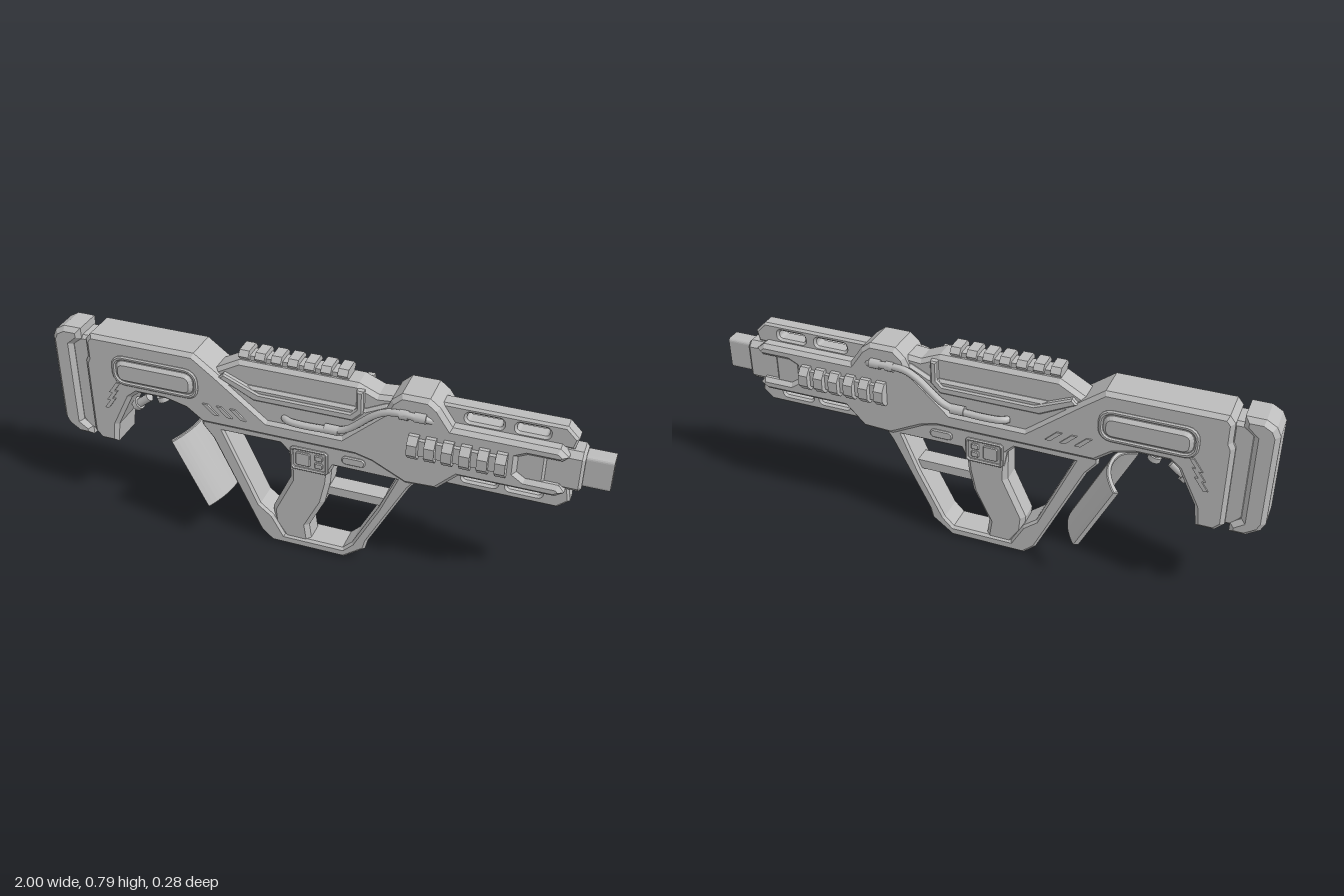
import * as THREE from 'three';

const grey = new THREE.MeshStandardMaterial({ color: 0xbcbcbc });
grey.name = 'light gunmetal grey';

const toShape = (pts) => new THREE.Shape(pts.map(([x, y]) => new THREE.Vector2(x, y)));

// Rounded or chamfered rectangle outline
function pill(x0, x1, y0, y1, r, steps = 4) {
  const pts = [];
  const corners = [[x1 - r, y1 - r], [x0 + r, y1 - r], [x0 + r, y0 + r], [x1 - r, y0 + r]];
  corners.forEach(([cx, cy], q) => {
    for (let i = 0; i <= steps; i++) {
      const a = (q + i / steps) * Math.PI / 2;
      pts.push([cx + r * Math.cos(a), cy + r * Math.sin(a)]);
    }
  });
  return pts;
}

// Side outline thickened to z0..z1 with chamfered edges that keep the outline's size
function slab(pts, z0, z1, bevel = 0, holes = []) {
  const shape = toShape(pts);
  shape.holes = holes.map(toShape);
  const geo = new THREE.ExtrudeGeometry(shape, {
    depth: z1 - z0 - 2 * bevel, bevelEnabled: bevel > 0, bevelThickness: bevel,
    bevelSize: bevel, bevelOffset: -bevel, bevelSegments: 1,
  });
  return geo.translate(0, 0, z0 + bevel);
}

// Cross-section in (z, y) drawn out along x
const prismX = (pts, x0, x1, holes = [], bevel = 0) => slab(pts, x0, x1, bevel, holes).rotateY(Math.PI / 2);

export function createModel() {
  const model = new THREE.Group();
  const add = (name, geo) => {
    const mesh = new THREE.Mesh(geo, grey);
    mesh.name = name;
    model.add(mesh);
    return mesh;
  };
  const box = (name, x0, x1, y0, y1, z0, z1) => add(name,
    new THREE.BoxGeometry(x1 - x0, y1 - y0, z1 - z0).translate((x0 + x1) / 2, (y0 + y1) / 2, (z0 + z1) / 2));

  // Outer shell: stock, lower strip, hump and forked handguard
  add('shell', slab([
    [-0.87, 0.34], [-0.84, 0.31], [-0.775, 0.31], [-0.765, 0.39], [-0.70, 0.52], [-0.67, 0.545],
    [-0.56, 0.545], [-0.48, 0.525], [-0.42, 0.48], [0.15, 0.48], [0.21, 0.465], [0.33, 0.405],
    [0.44, 0.41], [0.51, 0.48], [0.83, 0.48], [0.86, 0.50], [0.84, 0.525], [0.73, 0.525],
    [0.70, 0.545], [0.70, 0.605], [0.73, 0.62], [0.84, 0.62], [0.86, 0.64], [0.83, 0.665],
    [0.48, 0.665], [0.435, 0.73], [0.40, 0.757], [0.305, 0.757], [0.27, 0.725], [0.25, 0.68],
    [0.10, 0.545], [-0.17, 0.545], [-0.36, 0.695], [-0.44, 0.755], [-0.84, 0.755], [-0.86, 0.73],
    [-0.86, 0.66], [-0.87, 0.64],
  ], -0.075, 0.075, 0.014));

  // Narrower upper receiver with a stepped top panel
  add('upperReceiver', slab([
    [-0.44, 0.50], [-0.44, 0.68], [-0.36, 0.69], [-0.31, 0.665], [0.18, 0.665], [0.25, 0.70],
    [0.34, 0.70], [0.34, 0.50],
  ], -0.063, 0.063, 0.01));
  add('topPanel', slab([
    [-0.42, 0.62], [-0.37, 0.70], [-0.28, 0.75], [0.15, 0.75], [0.22, 0.72], [0.33, 0.73],
    [0.33, 0.62],
  ], -0.05, 0.05, 0.014));

  // Triangular lower frame: two bevelled side plates over a slightly inset core
  const opening = [
    [-0.345, 0.45], [-0.13, 0.45], [-0.10, 0.42], [-0.09, 0.36], [0.05, 0.36], [0.07, 0.40],
    [0.295, 0.40], [0.235, 0.26], [0.14, 0.075], [0.105, 0.04], [-0.12, 0.04], [-0.165, 0.12], [-0.215, 0.16],
  ];
  const frame = [
    [-0.43, 0.50], [-0.43, 0.46], [-0.39, 0.41], [-0.215, 0.04], [-0.17, 0], [0.11, 0],
    [0.19, 0.06], [0.20, 0.10], [0.34, 0.37], [0.36, 0.40], [0.36, 0.50],
  ];
  add('leftFramePlate', slab(frame, 0.033, 0.057, 0.009, [opening]));
  add('rightFramePlate', slab(frame, -0.057, -0.033, 0.009, [opening]));
  add('frameCore', slab([
    [-0.42, 0.50], [-0.42, 0.46], [-0.38, 0.41], [-0.208, 0.045], [-0.168, 0.004], [0.108, 0.004],
    [0.182, 0.062], [0.192, 0.102], [0.33, 0.37], [0.35, 0.40], [0.35, 0.50],
  ], -0.045, 0.045, 0, [opening]));

  // Grip and the bar that closes the finger opening
  add('grip', slab([
    [-0.10, 0.42], [-0.10, 0.30], [-0.17, 0.15], [-0.165, 0.09], [-0.12, 0.02], [-0.02, 0.02],
    [-0.03, 0.10], [0.03, 0.22], [0.05, 0.31], [0.06, 0.42],
  ], -0.05, 0.05, 0.016));
  box('crossBar', 0.02, 0.25, 0.257, 0.292, -0.033, 0.033);

  // Butt pad and its spacer plate
  add('buttPad', slab([
    [-1, 0.37], [-0.985, 0.34], [-0.94, 0.31], [-0.885, 0.31], [-0.885, 0.345], [-0.92, 0.37],
    [-0.92, 0.69], [-0.885, 0.72], [-0.885, 0.76], [-0.95, 0.76], [-0.985, 0.74], [-1, 0.71],
  ], -0.067, 0.067, 0.016));
  add('buttSpacer', slab([
    [-0.93, 0.37], [-0.89, 0.33], [-0.85, 0.33], [-0.85, 0.73], [-0.89, 0.73], [-0.93, 0.70],
  ], -0.052, 0.052, 0.012));

  // Slotted rails above and below the handguard
  add('upperVentRail', slab(
    [[0.38, 0.65], [0.87, 0.65], [0.88, 0.69], [0.84, 0.73], [0.38, 0.73]], -0.03, 0.03, 0.008,
    [pill(0.515, 0.635, 0.677, 0.708, 0.012), pill(0.68, 0.785, 0.677, 0.708, 0.012)]));
  add('lowerVentRail', slab(
    [[0.38, 0.41], [0.84, 0.41], [0.88, 0.445], [0.87, 0.50], [0.38, 0.50]], -0.03, 0.03, 0.008,
    [pill(0.52, 0.635, 0.441, 0.472, 0.012), pill(0.67, 0.785, 0.441, 0.472, 0.012)]));

  // Nose block and hollow muzzle
  add('noseBlock', prismX(pill(-0.05, 0.05, 0.495, 0.65, 0.02, 1), 0.66, 0.91, [], 0.01));
  add('noseCollar', prismX(pill(-0.06, 0.06, 0.50, 0.645, 0.02, 1), 0.66, 0.79, [], 0.008));
  add('muzzle', prismX(pill(-0.032, 0.032, 0.515, 0.635, 0.012), 0.90, 1, [pill(-0.019, 0.019, 0.53, 0.62, 0.008)]));
  box('boreBack', 0.90, 0.94, 0.52, 0.63, -0.025, 0.025);

  // Toothed top rail
  box('topRailBase', -0.28, 0.11, 0.74, 0.767, -0.028, 0.028);
  for (let i = 0; i < 7; i++) {
    const x = -0.28 + i * 0.0592;
    add('topRailTooth', prismX([[-0.03, 0.75], [0.03, 0.75], [0.045, 0.767], [0.03, 0.786], [-0.03, 0.786], [-0.045, 0.767]], x, x + 0.036));
  }

  // Details repeated on both flanks
  for (const s of [1, -1]) {
    const side = s > 0 ? 'left' : 'right';
    const plate = (name, pts, z0, z1, bevel, holes) =>
      add(`${side} ${name}`, s > 0 ? slab(pts, z0, z1, bevel, holes) : slab(pts, -z1, -z0, bevel, holes));

    // Stock cheek pad in a raised rim
    plate('padRim', pill(-0.76, -0.425, 0.575, 0.695, 0.045), 0.06, 0.082, 0.005, [pill(-0.744, -0.441, 0.591, 0.679, 0.032)]);
    plate('stockPad', pill(-0.742, -0.443, 0.593, 0.677, 0.032), 0.06, 0.09, 0.012);

    // Slanted marks on the stock
    for (let i = 0; i < 3; i++) {
      const x = -0.805 + i * 0.012, y = 0.465 + i * 0.035;
      plate('rearMark', [[x, y], [x + 0.016, y], [x + 0.048, y + 0.045], [x + 0.032, y + 0.045]], 0.07, 0.081);
      const u = -0.41 + i * 0.052;
      plate('frontMark', [[u, 0.568], [u + 0.04, 0.53], [u + 0.06, 0.53], [u + 0.02, 0.568]], 0.07, 0.081);
    }

    // Receiver lip, pill button and control square
    plate('receiverLip', [
      [-0.35, 0.68], [-0.22, 0.615], [0.14, 0.615], [0.175, 0.65], [0.175, 0.735], [0.15, 0.735],
      [0.15, 0.665], [0.13, 0.645], [-0.20, 0.645], [-0.33, 0.70],
    ], 0.04, 0.07, 0.006);
    plate('button', pill(0.10, 0.185, 0.425, 0.458, 0.015), 0.05, 0.064, 0.004);
    plate('controlFrame', pill(-0.09, 0.05, 0.36, 0.455, 0.008, 1), 0.05, 0.066, 0.004, [pill(-0.08, 0.04, 0.37, 0.445, 0.006, 1)]);
    plate('controlScreen', pill(-0.07, -0.015, 0.38, 0.435, 0.006, 1), 0.05, 0.064, 0.003);
    for (const y of [0.38, 0.412]) plate('controlKey', pill(0, 0.03, y, y + 0.023, 0.004, 1), 0.05, 0.064, 0.003);

    // Toothed side rail
    plate('sideRailBase', pill(0.34, 0.67, 0.545, 0.605, 0.005, 1), 0.06, 0.09);
    for (let i = 0; i < 6; i++) {
      const x = 0.34 + i * 0.059;
      const pts = [[0.07, 0.53], [0.09, 0.53], [0.112, 0.555], [0.112, 0.595], [0.09, 0.62], [0.07, 0.62]];
      add(`${side} sideRailTooth`, prismX(pts.map(([z, y]) => [-s * z, y]), x, x + 0.035));
    }

    // Cable with connectors
    const path = new THREE.CatmullRomCurve3([
      [-0.11, 0.567, 0.06], [-0.09, 0.567, 0.076], [0.05, 0.569, 0.08], [0.12, 0.585, 0.08],
      [0.22, 0.665, 0.08], [0.27, 0.688, 0.08], [0.38, 0.688, 0.08], [0.42, 0.675, 0.06],
    ].map(([x, y, z]) => new THREE.Vector3(x, y, z * s)));
    add(`${side} cable`, new THREE.TubeGeometry(path, 40, 0.013, 8));
    for (const [x, y, len] of [[0.07, 0.571, 0.05], [0.32, 0.688, 0.03], [0.375, 0.688, 0.04]]) {
      add(`${side} cableConnector`, new THREE.CylinderGeometry(0.018, 0.018, len, 10).rotateZ(Math.PI / 2).translate(x, y, 0.078 * s));
    }
  }

  // Curved arm rest behind the frame, hollow side facing back and down
  const outer = [], inner = [];
  for (let i = 0; i <= 20; i++) {
    const t = i / 10 - 1, depth = -0.062 * Math.abs(t) ** 2.4;
    outer.push([0.14 * t, depth]);
    inner.unshift([0.122 * t, depth - 0.016]);
  }
  const rest = add('armRest', slab([...outer, ...inner], 0, 0.29, 0.003));
  rest.matrixAutoUpdate = false;
  rest.matrix.makeBasis(new THREE.Vector3(0, 0, 1), new THREE.Vector3(0.894, 0.447, 0), new THREE.Vector3(-0.447, 0.894, 0))
    .setPosition(-0.325, 0.19, 0);

  // Small pivot pegs under the stock
  for (const [x, y, tilt] of [[-0.69, 0.47, -0.9], [-0.615, 0.53, 0.3]]) {
    const peg = add('pivotPeg', new THREE.CylinderGeometry(0.016, 0.016, 0.07, 10));
    peg.position.set(x, y, 0);
    peg.rotation.z = tilt;
    const cap = add('pegCap', new THREE.CylinderGeometry(0.024, 0.024, 0.02, 10));
    cap.position.set(x + Math.sin(tilt) * 0.03, y - Math.cos(tilt) * 0.03, 0);
    cap.rotation.z = tilt;
  }

  return model;
}
